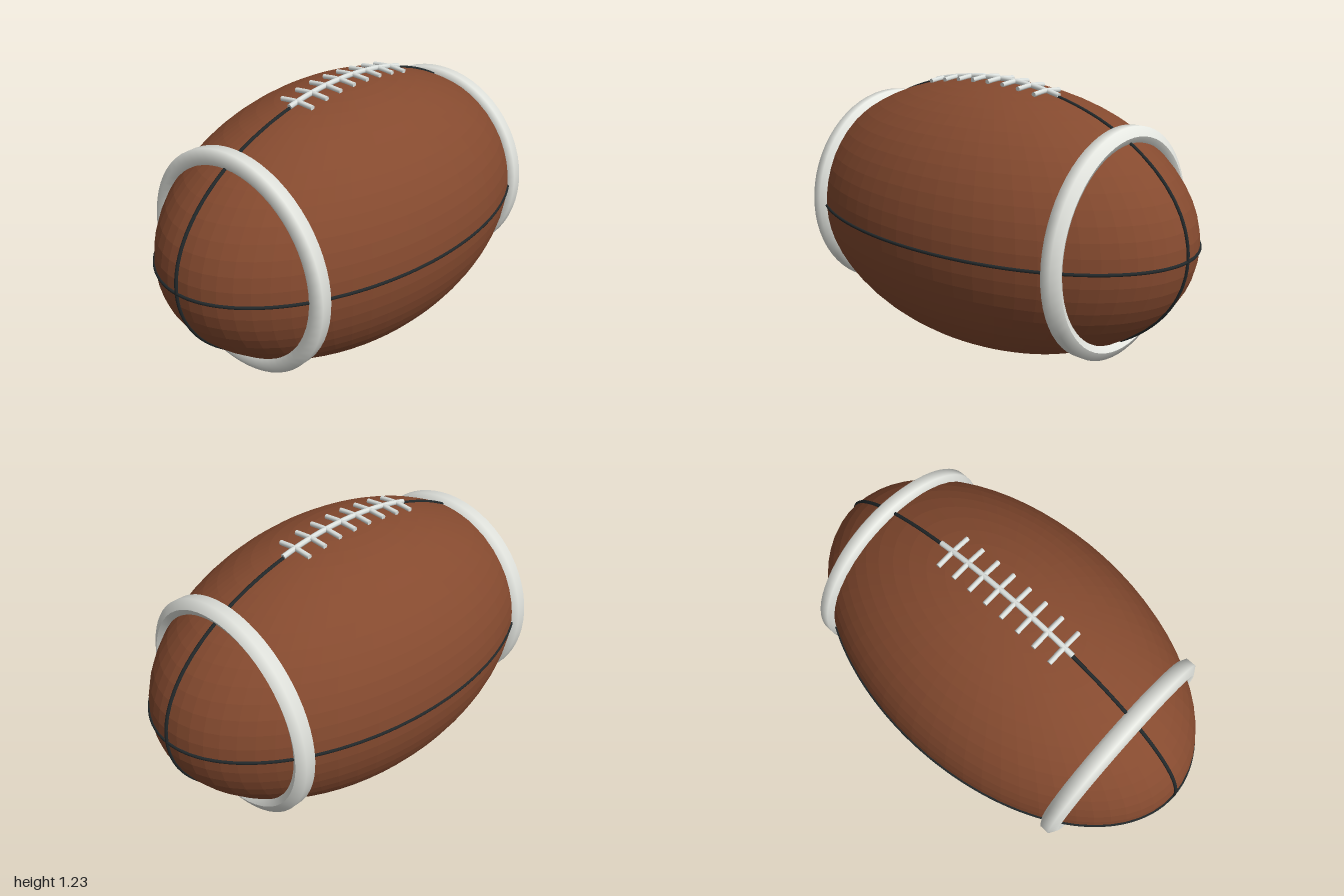
import * as THREE from 'three';

const A = 0.992, R = 0.604, CY = 0.613; // half length, radius, centre height

const mat = (name, color, flatShading = false) => {
  const m = new THREE.MeshStandardMaterial({ color, flatShading });
  m.name = name;
  return m;
};

export function createModel() {
  const group = new THREE.Group();
  group.name = 'football';
  const leather = mat('brown leather', 0x854a2f, true);
  const white = mat('white stripe', 0xe8eae4);
  const laceMat = mat('lace white', 0xdde2df);
  const dark = mat('dark seam', 0x22282a);

  const add = (name, geometry, material) => {
    const mesh = new THREE.Mesh(geometry, material);
    mesh.name = name;
    group.add(mesh);
    return mesh;
  };
  const curve = (points, closed = false) => new THREE.CatmullRomCurve3(points, closed);

  // height of the leather above the ball's centre line
  const surfaceY = (x, z) => CY + R * Math.sqrt(1 - (x / A) ** 2 - (z / R) ** 2);

  // faceted ellipsoid body
  const body = add('ball', new THREE.SphereGeometry(1, 64, 32).scale(A, R, R), leather);
  body.position.y = CY;

  // two seams running lengthwise round the ball
  const ellipse = [];
  for (let i = 0; i < 64; i++) {
    const t = (i / 64) * Math.PI * 2;
    ellipse.push(new THREE.Vector3(A * Math.cos(t), R * Math.sin(t), 0));
  }
  const seam = (name, radius) => {
    const mesh = add(name, new THREE.TubeGeometry(curve(ellipse, true), 160, radius, 8, true), dark);
    mesh.position.y = CY;
    return mesh;
  };
  seam('verticalSeam', 0.008);
  seam('horizontalSeam', 0.007).rotation.x = Math.PI / 2;

  // raised stripes, six-sided in section
  const section = [];
  for (let i = 0; i <= 6; i++) {
    const t = (i / 6) * Math.PI * 2 - Math.PI / 2;
    section.push(new THREE.Vector2(0.448 + 0.045 * Math.cos(t), 0.045 * Math.sin(t)));
  }
  for (const [name, side] of [['leftStripe', 1], ['rightStripe', -1]]) {
    const stripe = add(name, new THREE.LatheGeometry(section, 64), white);
    stripe.rotation.z = Math.PI / 2;
    stripe.position.set(side * 0.68, CY, 0);
  }

  // a tube with closed ends that lies on the leather
  const lace = (name, points, segments, radius) => {
    const path = curve(points);
    add(name, new THREE.TubeGeometry(path, segments, radius, 8), laceMat);
    for (const end of [0, 1]) {
      const cap = add(name + 'End', new THREE.CircleGeometry(radius, 8), laceMat);
      const out = path.getTangent(end).multiplyScalar(end ? 1 : -1);
      cap.position.copy(path.getPoint(end));
      cap.quaternion.setFromUnitVectors(new THREE.Vector3(0, 0, 1), out);
    }
  };
  const onTop = (x, z) => new THREE.Vector3(x, surfaceY(x, z) + 0.007, z);

  // long lace and eight cross laces
  lace('longLace', Array.from({ length: 13 }, (_, i) => onTop(-0.355 + i * 0.71 / 12, 0)), 32, 0.012);
  for (let i = 0; i < 8; i++) {
    const x = -0.309 + i * 0.0855;
    lace('crossLace', [-0.085, 0, 0.085].map((z) => onTop(x, z)), 8, 0.011);
  }
  return group;
}
